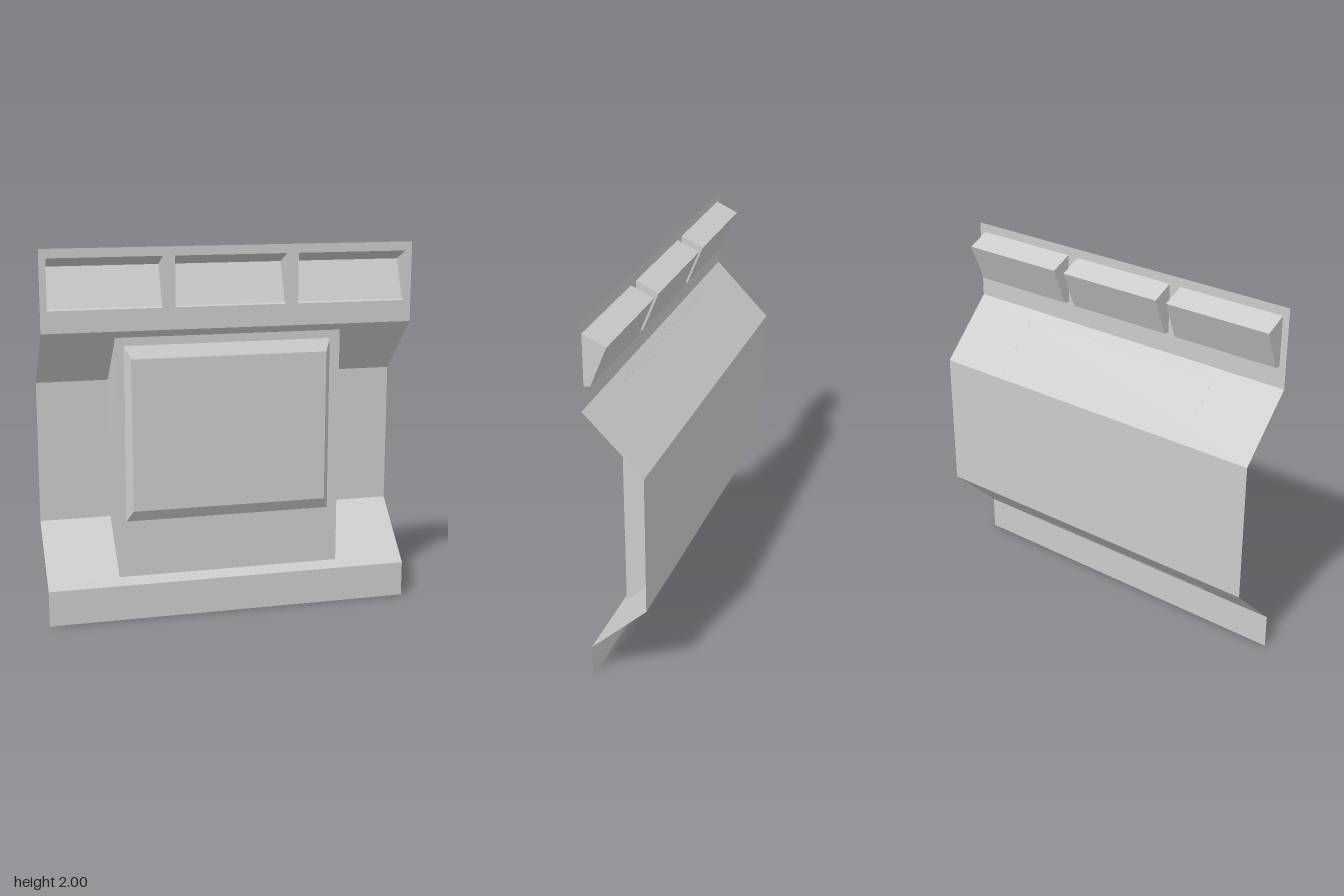
import * as THREE from 'three';

const FRONT = 0.153, BACK = -0.153, BOX_FRONT = 0.115;

const material = new THREE.MeshStandardMaterial({
  color: 0xcccccc, flatShading: true, side: THREE.DoubleSide,
});

function part(name, geometry) {
  const mesh = new THREE.Mesh(geometry, material);
  mesh.name = name;
  return mesh;
}

// Folded sheet: a [z, y] profile running upwards, swept from x0 to x1
function foldedSheet(profile, x0, x1) {
  const pos = [];
  for (let i = 0; i < profile.length - 1; i++) {
    const [za, ya] = profile[i], [zb, yb] = profile[i + 1];
    pos.push(x0, ya, za, x1, ya, za, x1, yb, zb);
    pos.push(x0, ya, za, x1, yb, zb, x0, yb, zb);
  }
  const g = new THREE.BufferGeometry();
  g.setAttribute('position', new THREE.Float32BufferAttribute(pos, 3));
  g.computeVertexNormals();
  return g;
}

// Flat cheek: a [z, y] outline standing at the given x
function cheek(outline, x) {
  const shape = new THREE.Shape(outline.map(([z, y]) => new THREE.Vector2(z, y)));
  return new THREE.ShapeGeometry(shape).rotateY(-Math.PI / 2).translate(x, 0, 0);
}

function rectangle(x0, x1, y0, y1) {
  return [[x0, y0], [x1, y0], [x1, y1], [x0, y1]].map(([x, y]) => new THREE.Vector2(x, y));
}

// Raised panel: outer rectangle at z0 bevelled to an inner rectangle at z1
function bevelledPanel(outer, inner, z0, z1) {
  const pos = [...outer.map((p) => [p.x, p.y, z0]), ...inner.map((p) => [p.x, p.y, z1])].flat();
  const index = [4, 5, 6, 4, 6, 7];
  for (let i = 0; i < 4; i++) {
    const j = (i + 1) % 4;
    index.push(i, j, j + 4, i, j + 4, i + 4);
  }
  const g = new THREE.BufferGeometry();
  g.setAttribute('position', new THREE.Float32BufferAttribute(pos, 3));
  g.setIndex(index);
  const flat = g.toNonIndexed();
  flat.computeVertexNormals();
  return flat;
}

export function createModel() {
  const group = new THREE.Group();
  group.name = 'wallPanel';

  // Wall sheet: base strip, lower slope, recessed back and upper slope
  const wall = [[FRONT, 0], [FRONT, 0.193], [BACK, 0.497], [BACK, 1.265], [FRONT, 1.57]];
  group.add(part('wall', foldedSheet(wall, -1, 1)));

  // Upper strip with three openings, each leading to a sloping niche
  const strip = new THREE.Shape(rectangle(-1, 1, 1.57, 2));
  const niche = [[FRONT, 1.686], [0.119, 1.69], [0.033, 1.9], [FRONT, 1.952]];
  for (const x of [-0.664, 0, 0.664]) {
    const x0 = x - 0.3, x1 = x + 0.3;
    strip.holes.push(new THREE.Path(rectangle(x0, x1, 1.686, 1.952).reverse()));
    const nicheGroup = new THREE.Group();
    nicheGroup.name = 'niche';
    nicheGroup.add(part('nicheLining', foldedSheet(niche, x0, x1)));
    for (const side of [x0, x1]) nicheGroup.add(part('nicheCheek', cheek(niche, side)));
    group.add(nicheGroup);
  }
  group.add(part('upperStrip', new THREE.ShapeGeometry(strip).translate(0, 0, FRONT)));

  // Central block filling the recess between the slopes
  const block = new THREE.Group();
  block.name = 'centralBlock';
  const outline = [[BOX_FRONT, 0.229], [BOX_FRONT, 1.533], [BACK, 1.265], [BACK, 0.497]];
  block.add(part('blockFront', foldedSheet([outline[0], outline[1]], -0.613, 0.613)));
  for (const x of [-0.613, 0.613]) block.add(part('blockCheek', cheek(outline, x)));

  // Bevelled panel on the face of the block
  block.add(part('raisedPanel', bevelledPanel(
    rectangle(-0.57, 0.557, 0.54, 1.488),
    rectangle(-0.537, 0.526, 0.603, 1.422),
    BOX_FRONT, FRONT,
  )));
  group.add(block);

  return group;
}
